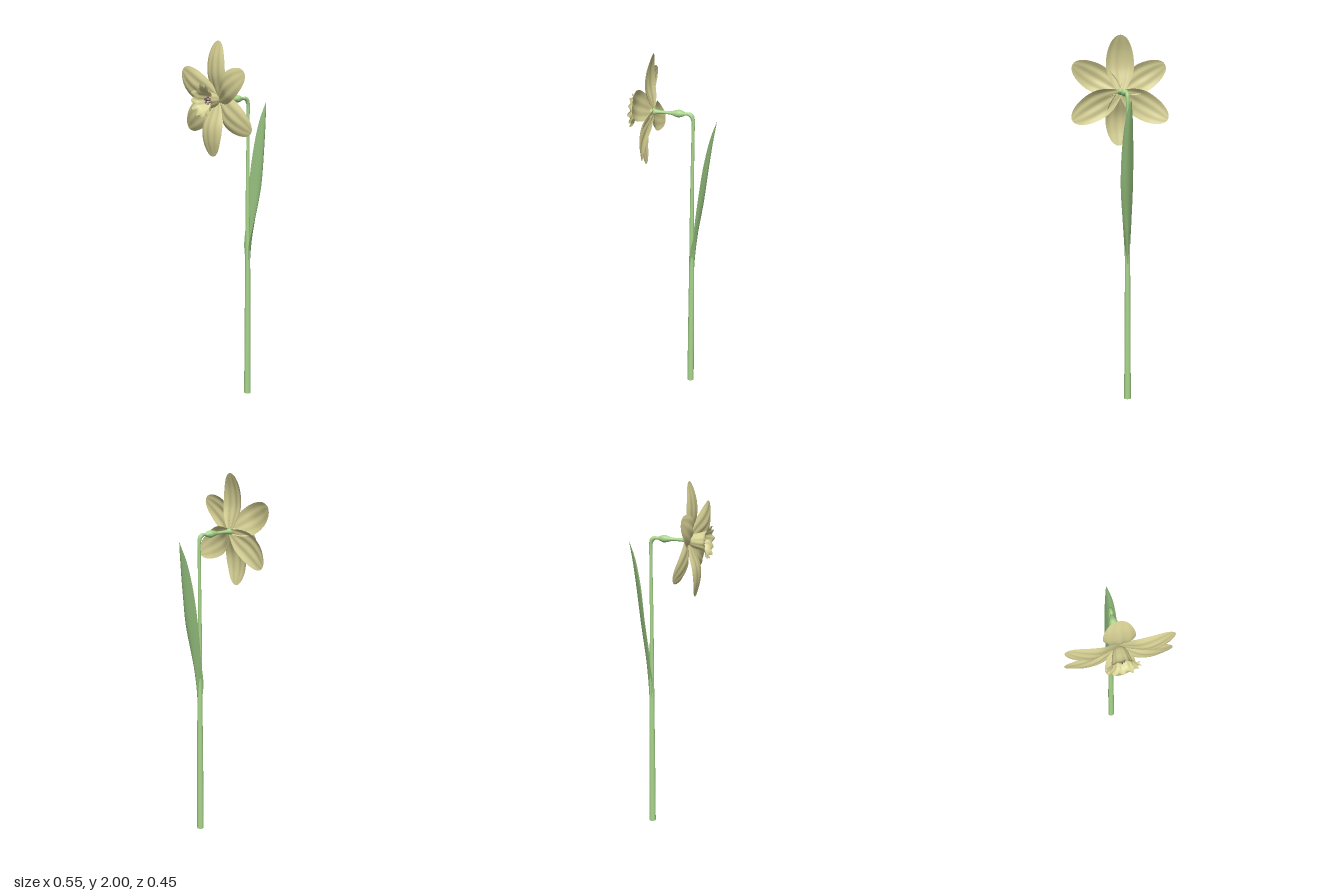
import * as THREE from 'three';
import { ParametricGeometry } from 'three/addons/geometries/ParametricGeometry.js';

const CENTRE_Y = 1.69; // height of the bloom's axis
const V = (x, y, z) => new THREE.Vector3(x, y, z);
const curve = (points) => new THREE.CatmullRomCurve3(points.map((p) => V(...p)));

const material = (color) => new THREE.MeshStandardMaterial({ color, side: THREE.DoubleSide });
const green = material(0xa9d68c);
const leafGreen = material(0x8fb878);
const petalYellow = material(0xd6d094);
const cupYellow = material(0xdbd698);
const plum = material(0x7a5a6c);

function add(parent, name, geometry, mat) {
  const mesh = new THREE.Mesh(geometry, mat);
  mesh.name = name;
  parent.add(mesh);
  return mesh;
}

// Stem, bend, ovary and neck in one sweep: stations are [radius, y, z]
function stemGeometry() {
  const path = curve([
    [0.019, 0, -0.1], [0.017, 0.4, -0.1], [0.0145, 0.75, -0.1], [0.0105, 1.2, -0.098],
    [0.0085, 1.58, -0.1], [0.0095, 1.655, -0.1], [0.0115, 1.682, -0.091], [0.0095, 1.691, -0.075],
    [0.0075, 1.69, -0.06], [0.0155, 1.69, -0.042], [0.02, 1.69, -0.025], [0.0155, 1.69, -0.003],
    [0.0095, 1.69, 0.018], [0.0085, 1.69, 0.05], [0.0105, 1.69, 0.085], [0.018, 1.69, 0.112],
  ]);
  return new ParametricGeometry((u, v, out) => {
    const p = path.getPoint(v);
    const t = path.getTangent(v).setX(0).normalize();
    const a = u * Math.PI * 2;
    const r = p.x;
    out.set(r * Math.cos(a), p.y - r * Math.sin(a) * t.z, p.z + r * Math.sin(a) * t.y);
  }, 18, 120);
}

// Leaf: a left edge, midrib and right edge, bent into a channel
function leafGeometry() {
  const left = curve([
    [-0.013, 0.76, -0.098], [-0.017, 0.87, -0.088], [-0.02, 1.0, -0.105], [-0.024, 1.2, -0.127],
    [-0.02, 1.4, -0.155], [-0.01, 1.56, -0.19], [0.003, 1.66, -0.224],
  ]);
  const mid = curve([
    [0, 0.74, -0.113], [0.003, 0.86, -0.12], [0.008, 1.0, -0.135], [0.014, 1.2, -0.165],
    [0.017, 1.4, -0.19], [0.012, 1.56, -0.21], [0.005, 1.665, -0.226],
  ]);
  const right = curve([
    [0.013, 0.76, -0.098], [0.017, 0.87, -0.092], [0.03, 1.0, -0.118], [0.048, 1.2, -0.155],
    [0.045, 1.4, -0.175], [0.03, 1.56, -0.2], [0.007, 1.66, -0.225],
  ]);
  const geometry = new ParametricGeometry((u, v, out) => {
    const s = u * 2 - 1;
    out.set(0, 0, 0)
      .addScaledVector(left.getPoint(v), s * (s - 1) / 2)
      .addScaledVector(mid.getPoint(v), 1 - s * s)
      .addScaledVector(right.getPoint(v), s * (s + 1) / 2);
  }, 8, 40);
  geometry.computeVertexNormals();
  return geometry;
}

// Petal pointing up +y: rounded outline, bowed lengthwise, edges rolled back
function petalGeometry(length, bow) {
  const spine = curve(bow.map(([t, z]) => [0, t, z]));
  const geometry = new ParametricGeometry((u, v, out) => {
    const s = u * 2 - 1;
    const t = 1 - (1 - v) ** 1.6;
    const width = t > 0.56
      ? 0.078 * Math.sqrt(Math.max(0, 1 - ((t - 0.56) / 0.44) ** 2))
      : 0.016 + 0.062 * Math.sin(Math.PI / 2 * t / 0.56);
    const p = spine.getPoint(t);
    const fade = Math.sin(Math.PI * t);
    const relief = fade * (0.003 * Math.cos(3 * Math.PI * s) - 0.016 * s * s + 0.004 * s);
    out.set(s * Math.max(width, 0.001), p.y * length, p.z + relief);
  }, 16, 28);
  geometry.computeVertexNormals();
  return geometry;
}

// Trumpet: flared cup whose rim breaks into ruffles
function cupGeometry() {
  const profile = curve([
    [0.018, 0, 0.112], [0.032, 0, 0.13], [0.042, 0, 0.16], [0.049, 0, 0.188],
    [0.056, 0, 0.205], [0.07, 0, 0.217], [0.084, 0, 0.222],
  ]);
  return new ParametricGeometry((u, v, out) => {
    const a = u * Math.PI * 2;
    const p = profile.getPoint(v);
    const ruffle = v ** 4;
    const r = p.x + 0.0015 * v * Math.cos(12 * a) + ruffle * (0.004 * Math.cos(12 * a) + 0.002 * Math.sin(5 * a));
    const z = p.z + ruffle * (0.005 * Math.sin(12 * a + 1) + 0.002 * Math.cos(7 * a));
    out.set(r * Math.cos(a), r * Math.sin(a), z);
  }, 144, 28);
}

// Thin tapered rod from a to b
function rod(parent, name, a, b, radius, mat) {
  const dir = b.clone().sub(a);
  const mesh = add(parent, name, new THREE.CylinderGeometry(radius * 0.7, radius, dir.length(), 8), mat);
  mesh.position.copy(a).addScaledVector(dir, 0.5);
  mesh.quaternion.setFromUnitVectors(V(0, 1, 0), dir.normalize());
}

export function createModel() {
  const model = new THREE.Group();
  model.name = 'flower';

  add(model, 'stem', stemGeometry(), green);
  const base = add(model, 'stemCutEnd', new THREE.CircleGeometry(0.019, 18), green);
  base.rotation.x = Math.PI / 2;
  base.position.set(0, 0, -0.1);
  add(model, 'leaf', leafGeometry(), leafGreen);

  const bloom = new THREE.Group();
  bloom.name = 'bloom';
  bloom.position.y = CENTRE_Y;
  model.add(bloom);

  // Two alternating whorls of three petals
  const outer = petalGeometry(0.31, [[0, 0.106], [0.2, 0.125], [0.42, 0.142], [0.7, 0.137], [1, 0.11]]);
  const inner = petalGeometry(0.3, [[0, 0.11], [0.2, 0.138], [0.45, 0.168], [0.7, 0.17], [1, 0.15]]);
  for (let i = 0; i < 3; i++) {
    const turn = i * Math.PI * 2 / 3;
    add(bloom, 'outerPetal', outer, petalYellow).rotation.z = turn;
    add(bloom, 'innerPetal', inner, petalYellow).rotation.z = turn + Math.PI;
  }

  add(bloom, 'trumpet', cupGeometry(), cupYellow);

  // Six stamens around a three-lobed pistil
  for (let i = 0; i < 6; i++) {
    const a = (i + 0.5) * Math.PI / 3;
    const at = (r, z) => V(r * Math.cos(a), r * Math.sin(a), z);
    rod(bloom, 'filament', at(0.008, 0.112), at(0.017, 0.175), 0.002, cupYellow);
    const anther = add(bloom, 'anther', new THREE.SphereGeometry(0.004, 10, 8), plum);
    anther.position.copy(at(0.018, 0.18));
    anther.scale.z = 2.2;
  }
  rod(bloom, 'style', V(0, 0, 0.112), V(0, 0, 0.19), 0.004, plum);
  for (let i = 0; i < 3; i++) {
    const a = Math.PI / 6 + i * Math.PI * 2 / 3;
    rod(bloom, 'stigmaLobe', V(0, 0, 0.188), V(0.014 * Math.cos(a), 0.014 * Math.sin(a), 0.197), 0.004, plum);
  }
  return model;
}
